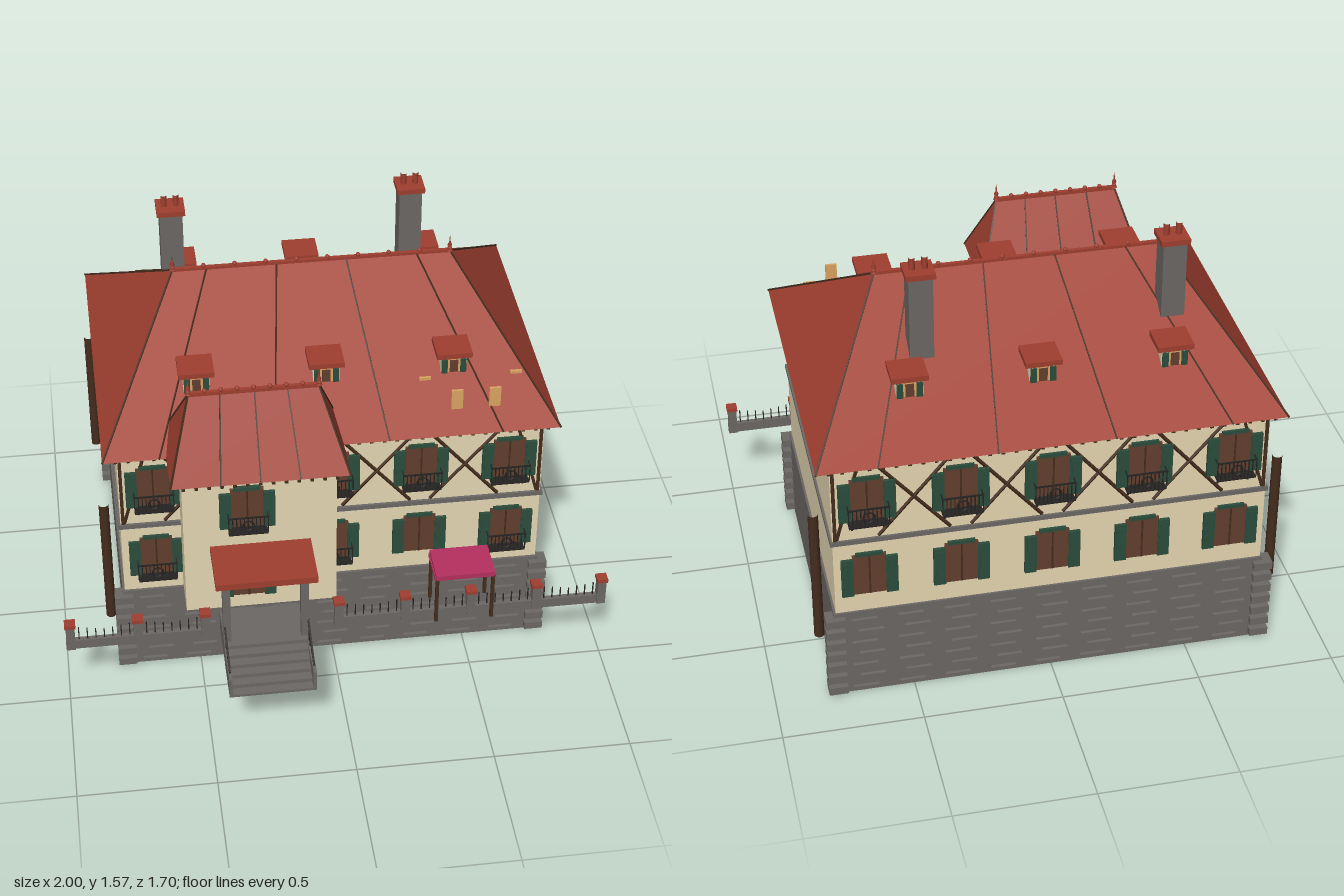
import * as THREE from 'three';

const mat = (name, color) => Object.assign(new THREE.MeshStandardMaterial({ color }), { name });
const M = {
  wall: mat('cream plaster', 0xe5d7b2), roof: mat('red tile', 0xa03f30), stone: mat('grey stone', 0x6c6865),
  timber: mat('dark timber', 0x452d1d), iron: mat('black iron', 0x262422), door: mat('brown wood', 0x633f2f),
  green: mat('green shutter', 0x2b4d3c), pink: mat('pink cloth', 0xb5305f), ochre: mat('ochre wood', 0xdca461),
};

const add = (p, name, geo, m) => {
  const mesh = new THREE.Mesh(geo, m);
  mesh.name = name;
  p.add(mesh);
  return mesh;
};
// box given by its lower and upper limits on each axis
const box = (p, name, m, x0, x1, y0, y1, z0, z1) => {
  const b = add(p, name, new THREE.BoxGeometry(x1 - x0, y1 - y0, z1 - z0), m);
  b.position.set((x0 + x1) / 2, (y0 + y1) / 2, (z0 + z1) / 2);
  return b;
};
// square bar between two points, in the frame of its parent
const bar = (p, name, m, a, b, t) => {
  const A = new THREE.Vector3(...a), d = new THREE.Vector3(...b).sub(A);
  const mesh = add(p, name, new THREE.BoxGeometry(t, t, d.length()), m);
  mesh.position.copy(A).addScaledVector(d, 0.5);
  mesh.quaternion.setFromUnitVectors(new THREE.Vector3(0, 0, 1), d.normalize());
  return mesh;
};
const group = (p, name) => {
  const g = new THREE.Group();
  g.name = name;
  p.add(g);
  return g;
};

// hipped roof with seams, ridge knobs and end finials
function hipRoof(p, name, x0, x1, z0, z1, y, rx0, rx1, rz, ry, seams, knobs, drop) {
  const g = group(p, name);
  const A = [x0, y, z1], B = [x1, y, z1], C = [x1, y, z0], D = [x0, y, z0], E = [rx0, ry, rz], F = [rx1, ry, rz];
  const tris = [A, B, F, A, F, E, B, C, F, C, D, E, C, E, F, D, A, E, A, D, C, A, C, B];
  const geo = new THREE.BufferGeometry();
  geo.setAttribute('position', new THREE.Float32BufferAttribute(tris.flat(), 3));
  geo.computeVertexNormals();
  add(g, 'roofSlopes', geo, M.roof);
  for (const [a, b] of [[A, E], [D, E], [B, F], [C, F]]) bar(g, 'hipLine', M.timber, a, b, 0.006);
  for (const [xe, xr] of seams) for (const z of [z0, z1]) bar(g, 'roofSeam', M.timber, [xe, y, z], [xr, ry, rz], 0.005);
  bar(g, 'ridge', M.roof, E, F, 0.014);
  for (let i = 0; i <= knobs; i++) {
    const k = add(g, 'ridgeKnob', new THREE.SphereGeometry(0.009, 8, 6), M.roof);
    k.position.set(rx0 + (rx1 - rx0) * i / knobs, ry + 0.01, rz);
  }
  for (const x of [rx0, rx1]) {
    const pts = [[0.012, 0], [0.005, 0.014], [0.009, 0.024], [0.003, 0.036], [0.001, 0.063]];
    const f = add(g, 'finial', new THREE.LatheGeometry(pts.map(q => new THREE.Vector2(...q)), 8), M.roof);
    f.position.set(x, ry, rz);
  }
  // rafter ends below the eaves
  const n = Math.round((x1 - x0) / 0.045);
  for (let i = 1; i < n; i++) {
    const x = x0 + (x1 - x0) * i / n;
    for (const z of z0 < 0 ? [z0 + 0.023, z1 - 0.023] : [z1 - 0.023])
      box(g, 'rafterEnd', M.timber, x - 0.006, x + 0.006, y - drop, y - 0.002, z - 0.017, z + 0.017);
  }
}

// shuttered window with optional iron balcony; origin at the sill, facing +z
function makeWindow(balcony) {
  const g = new THREE.Group();
  g.name = 'window';
  box(g, 'windowPanel', M.door, -0.059, 0.059, 0, 0.165, -0.005, 0.009);
  box(g, 'windowHead', M.green, -0.048, 0.048, 0.16, 0.174, -0.005, 0.01);
  box(g, 'mullion', M.timber, -0.003, 0.003, 0, 0.16, 0, 0.011);
  for (const s of [-1, 1]) {
    const x = s * 0.078;
    box(g, 'shutter', M.green, x - 0.021, x + 0.021, -0.004, 0.15, 0, 0.013);
    box(g, 'shutterSlats', M.green, x - 0.014, x + 0.014, 0.01, 0.138, 0.012, 0.015);
  }
  if (!balcony) return g;
  const b = group(g, 'balcony');
  const w = 0.07, d = 0.048, h = 0.07;
  box(b, 'balconyFloor', M.iron, -w, w, -0.008, -0.003, 0, d);
  box(b, 'frontRail', M.iron, -w - 0.003, w + 0.003, h - 0.005, h, d - 0.005, d);
  for (let i = 0; i <= 10; i++) {
    const x = -w + 2 * w * i / 10;
    box(b, 'baluster', M.iron, x - 0.0018, x + 0.0018, -0.002, h, d - 0.005, d - 0.001);
  }
  const ring = add(b, 'railRing', new THREE.TorusGeometry(0.02, 0.003, 5, 14), M.iron);
  ring.position.set(0, 0.032, d - 0.003);
  for (const s of [-1, 1]) {
    bar(b, 'sideRail', M.iron, [s * w, h - 0.003, 0], [s * w, h - 0.003, d], 0.004);
    bar(b, 'bracketBrace', M.iron, [s * 0.055, -0.04, 0.003], [s * 0.055, -0.006, d - 0.005], 0.005);
    box(b, 'bracketPost', M.iron, s * 0.055 - 0.003, s * 0.055 + 0.003, -0.044, 0, 0, 0.006);
  }
  return g;
}

function facade(p, side) {
  const f = group(p, side > 0 ? 'frontFacade' : 'backFacade');
  const z = side > 0 ? 0.325 : 0.802, plinthZ = side > 0 ? 0.335 : 0.81;
  f.rotation.y = side > 0 ? 0 : Math.PI;
  for (let i = -2; i <= 2; i++) {
    for (const y of [0.434, 0.752]) {
      const w = makeWindow(y > 0.5 || (side > 0 && i !== 1));
      w.position.set(i * 0.323, y, z);
      f.add(w);
    }
  }
  // half-timbering between the upper windows
  for (let i = -1.5; i < 2; i++) {
    const x = i * 0.323;
    for (const s of [-1, 1]) bar(f, 'timberBrace', M.timber, [x - s * 0.125, 0.672, z], [x + s * 0.125, 0.965, z], 0.01);
  }
  for (const s of [-1, 1]) {
    box(f, 'cornerTimber', M.timber, s * 0.76 - 0.006, s * 0.76 + 0.006, 0.668, 0.97, z - 0.008, z + 0.005);
    bar(f, 'timberBrace', M.timber, [s * 0.755, 0.672, z], [s * 0.675, 0.965, z], 0.01);
  }
  box(f, 'topTimber', M.timber, -0.765, 0.765, 0.962, 0.972, z - 0.008, z + 0.005);
  // thin stone ledges on the plinth and blocks at its corners
  for (let r = 0; r < 7; r++) {
    const y = 0.012 + r * 0.05;
    for (let c = 0; c < 9; c++) {
      const x = (c - 4) * 0.165 + (r % 2 ? 0.012 : -0.012);
      box(f, 'plinthLedge', M.stone, x - 0.045, x + 0.045, y + 0.014, y + 0.0155, plinthZ - 0.005, plinthZ + 0.013);
    }
    for (const s of [-1, 1]) box(f, 'quoin', M.stone, s * 0.775 - 0.034, s * 0.775 + 0.034, y, y + 0.03, plinthZ - 0.04, plinthZ + 0.022);
  }
}

function dormer(p, x, side) {
  const g = group(p, 'dormer');
  g.position.set(x, 0, -0.24);
  g.rotation.y = side > 0 ? 0 : Math.PI;
  box(g, 'dormerWalls', M.wall, -0.047, 0.047, 1.06, 1.182, 0.29, 0.4);
  box(g, 'dormerCap', M.roof, -0.064, 0.064, 1.18, 1.2, 0.297, 0.417);
  box(g, 'dormerFrame', M.ochre, -0.024, 0.024, 1.112, 1.176, 0.395, 0.403);
  box(g, 'dormerPane', M.door, -0.015, 0.015, 1.115, 1.166, 0.397, 0.405);
  for (const s of [-1, 1]) box(g, 'dormerShutter', M.green, s * 0.034 - 0.011, s * 0.034 + 0.011, 1.112, 1.168, 0.395, 0.407);
}

function chimney(p, x, z) {
  const g = group(p, 'chimney');
  box(g, 'chimneyStack', M.stone, x - 0.042, x + 0.042, 1.05, 1.503, z - 0.042, z + 0.042);
  box(g, 'chimneyCap', M.roof, x - 0.052, x + 0.052, 1.5, 1.52, z - 0.05, z + 0.05);
  for (const s of [-1, 1]) {
    const pot = add(g, 'chimneyPot', new THREE.CylinderGeometry(0.011, 0.011, 0.05, 10, 1, true), M.roof);
    pot.position.set(x + s * 0.022, 1.54, z);
  }
}

function fence(p, from, spans) {
  const g = group(p, 'fence'), step = 0.245, to = from + spans * step, z = 0.515;
  box(g, 'fenceWall', M.stone, from - 0.018, to + 0.018, 0.268, 0.306, z - 0.01, z + 0.01);
  for (let i = 0; i <= spans; i++) {
    const x = from + i * step;
    box(g, 'fencePost', M.stone, x - 0.016, x + 0.016, 0.268, 0.372, z - 0.016, z + 0.016);
    box(g, 'fencePostCap', M.roof, x - 0.02, x + 0.02, 0.37, 0.385, z - 0.02, z + 0.02);
    for (let k = 1; k < 8 && i < spans; k++) {
      const px = x + k * step / 8, h = 0.345 + 0.02 * Math.abs(k - 4) / 4;
      box(g, 'fencePicket', M.iron, px - 0.002, px + 0.002, 0.3, h, z - 0.002, z + 0.002);
    }
  }
}

function porch(p) {
  const g = group(p, 'porch');
  box(g, 'porchCanopy', M.roof, -0.46, -0.097, 0.624, 0.65, 0.465, 0.685);
  box(g, 'porchFloor', M.stone, -0.435, -0.125, 0.266, 0.355, 0.485, 0.68);
  for (let i = 0; i < 5; i++) box(g, 'step', M.stone, -0.425, -0.135, 0.266, 0.34 - i * 0.016, 0.68, 0.714 + i * 0.034);
  for (const x of [-0.422, -0.142]) {
    box(g, 'porchPost', M.stone, x - 0.014, x + 0.014, 0.353, 0.626, 0.63, 0.658);
    const o = x < -0.28 ? -0.43 : -0.13;
    box(g, 'stairSide', M.stone, o - 0.006, o + 0.006, 0.266, 0.35, 0.68, 0.85);
    bar(g, 'handrail', M.iron, [o, 0.43, 0.65], [o, 0.357, 0.82], 0.007);
    for (let k = 1; k < 6; k++) {
      const z = 0.65 + k * 0.03;
      box(g, 'handrailBaluster', M.iron, o - 0.002, o + 0.002, 0.34, 0.43 - k * 0.0129, z - 0.002, z + 0.002);
    }
  }
}

function awning(p) {
  const g = group(p, 'awning');
  box(g, 'awningCloth', M.pink, 0.352, 0.568, 0.466, 0.486, 0.397, 0.553);
  for (let i = 0; i < 7; i++) for (const x of [0.352, 0.568]) {
    const z = 0.408 + i * 0.0225;
    box(g, 'awningFringe', M.pink, x - 0.004, x + 0.004, 0.459, 0.474, z - 0.007, z + 0.007);
  }
  for (const x of [0.357, 0.563]) for (const z of [0.412, 0.545]) box(g, 'awningPost', M.timber, x - 0.006, x + 0.006, 0.268, 0.47, z - 0.006, z + 0.006);
}

export function createModel() {
  const root = new THREE.Group();
  root.name = 'villa';
  // main block
  box(root, 'plinth', M.stone, -0.778, 0.778, 0, 0.356, -0.81, 0.335);
  box(root, 'houseWalls', M.wall, -0.77, 0.77, 0.35, 0.98, -0.802, 0.325);
  box(root, 'floorBand', M.stone, -0.778, 0.778, 0.65, 0.668, -0.81, 0.335);
  box(root, 'eaveTrim', M.stone, -0.774, 0.774, 0.968, 0.984, -0.808, 0.332);
  facade(root, 1);
  facade(root, -1);
  hipRoof(root, 'mainRoof', -0.82, 0.82, -0.85, 0.37, 0.983, -0.51, 0.51, -0.24, 1.372,
    [[-0.62, -0.385], [-0.21, -0.13], [0.2, 0.125], [0.61, 0.385]], 9, 0.01);
  // projecting bay
  const bay = group(root, 'frontBay');
  box(bay, 'bayWalls', M.wall, -0.553, -0.003, 0.357, 0.985, 0.3, 0.47);
  for (const y of [0.434, 0.752]) {
    const w = makeWindow(y > 0.5);
    w.position.set(-0.325, y, 0.488);
    bay.add(w);
  }
  hipRoof(bay, 'bayRoof', -0.595, 0.035, 0.205, 0.55, 0.985, -0.51, -0.055, 0.378, 1.262,
    [[-0.42, -0.4], [-0.28, -0.28], [-0.14, -0.165]], 8, 0.017);
  // roof furniture
  for (const x of [-0.465, 0, 0.462]) for (const s of [-1, 1]) dormer(root, x, s);
  chimney(root, -0.497, -0.445);
  chimney(root, 0.397, -0.488);
  for (const [x, z, y] of [[0.355, 0.18, 1.112], [0.455, 0.28, 1.117], [0.592, 0.28, 1.117], [0.687, 0.18, 1.112]])
    box(root, 'roofPlank', M.ochre, x - 0.021, x + 0.021, 1.03, y, z - 0.005, z + 0.005);
  // corner posts, open at the ends
  for (const [x, z] of [[0.825, -0.75], [-0.825, -0.75], [-0.825, 0.31]]) {
    const c = add(root, 'cornerPost', new THREE.CylinderGeometry(0.018, 0.018, 0.525, 12, 1, true), M.timber);
    c.position.set(x, 0.493, z);
  }
  porch(root);
  awning(root);
  fence(root, -0.98, 2);
  fence(root, 0, 4);
  return root;
}
